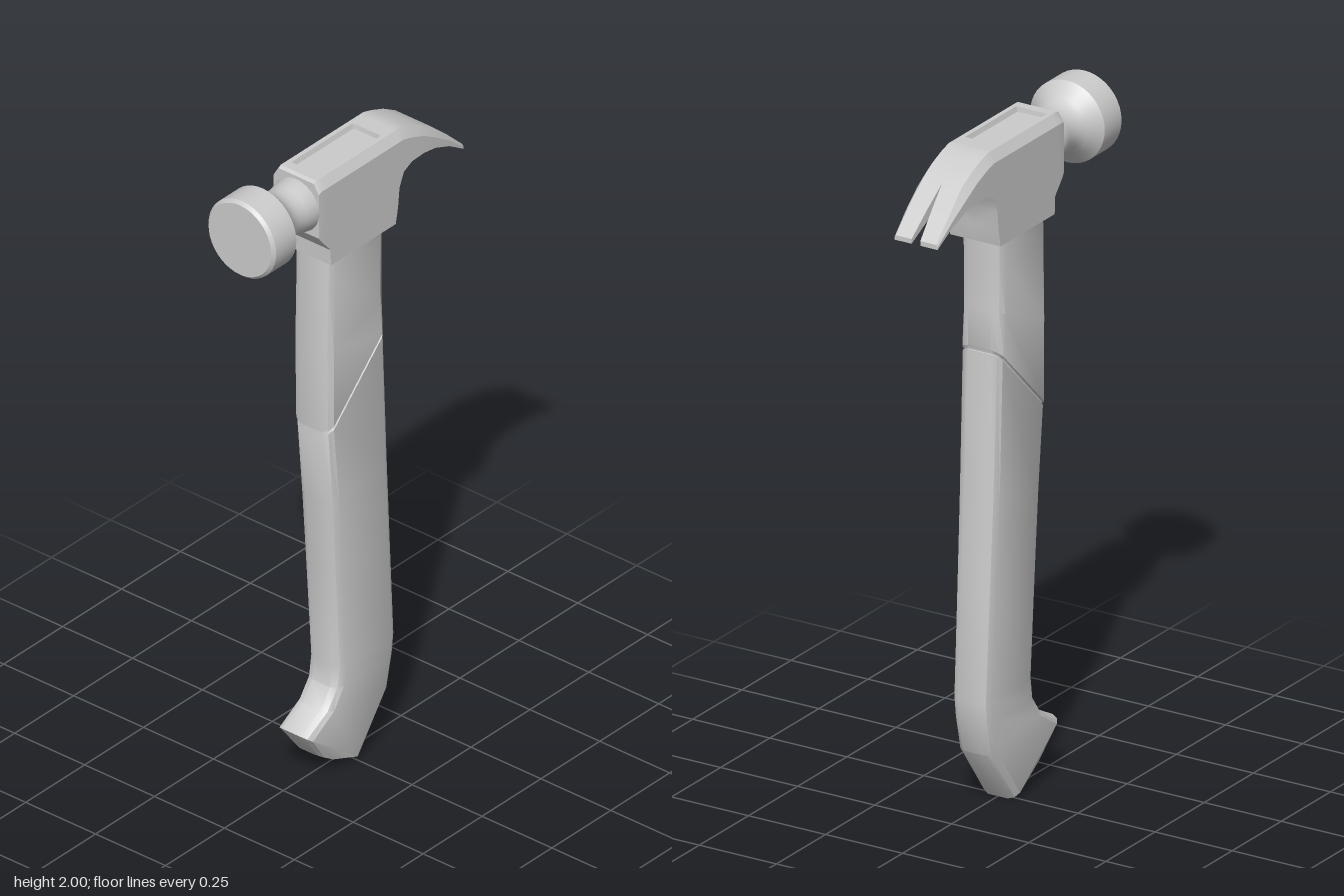
import * as THREE from 'three';
import { toCreasedNormals } from 'three/addons/utils/BufferGeometryUtils.js';

const material = new THREE.MeshStandardMaterial({ color: 0xcccccc });

// Closed skin through equal-length rings of [x, y, z], capped at both ends
function loft(rings, crease) {
  const n = rings[0].length;
  const pos = rings.flat(2);
  let index = [];
  for (let r = 0; r < rings.length - 1; r++) {
    for (let i = 0; i < n; i++) {
      const a = r * n + i, b = r * n + (i + 1) % n;
      index.push(a, b, b + n, a, b + n, a + n);
    }
  }
  const last = (rings.length - 1) * n;
  for (let i = 1; i < n - 1; i++) {
    index.push(0, i + 1, i, last, last + i, last + i + 1);
  }
  // Turn the faces outward if the enclosed volume comes out negative
  const v = (i) => new THREE.Vector3().fromArray(pos, i * 3);
  let volume = 0;
  for (let i = 0; i < index.length; i += 3) {
    volume += v(index[i]).dot(v(index[i + 1]).cross(v(index[i + 2])));
  }
  if (volume < 0) index = index.reverse();
  const geo = new THREE.BufferGeometry();
  geo.setAttribute('position', new THREE.Float32BufferAttribute(pos, 3));
  geo.setIndex(index);
  return toCreasedNormals(geo, crease);
}

function add(group, name, geo) {
  const mesh = new THREE.Mesh(geo, material);
  mesh.name = name;
  group.add(mesh);
  return mesh;
}

// Flat-faced handle section with rounded edges, spanning rear point L to front point R
function handleRing([lx, ly, rx, ry, h, inset = 0]) {
  const w = Math.hypot(rx - lx, ry - ly);
  const ux = (rx - lx) / w, uy = (ry - ly) / w;
  const e = Math.min(0.027, w * 0.3);
  const edge = [[0, 0.55], [e * 0.35, 0.85], [e, 1]];
  const half = [
    ...edge.map(([u, z]) => [u + inset, z]),
    ...edge.slice().reverse().map(([u, z]) => [w - u - inset, z]),
  ];
  const place = ([u, z], s) => [lx + ux * u, ly + uy * u, s * z * (h - inset)];
  return [...half.map((p) => place(p, 1)), ...half.slice().reverse().map((p) => place(p, -1))];
}

// One half of a head section: bottom, side, bevel, top and sunken panel
function headRing([x, bottom, top, w, gap = 0, sunk = 0], side) {
  const c = Math.min(0.018, (top - bottom) * 0.3);
  const panel = 0.05;
  return [
    [gap, bottom], [w, bottom], [w, top - c * 1.6], [w - c, top],
    [panel, top], [panel - 0.005, top - sunk], [gap, top - sunk],
  ].map(([z, y]) => [x, y, z * side]);
}

export function createModel() {
  const hammer = new THREE.Group();
  hammer.name = 'hammer';

  // Handle: [rear x, rear y, front x, front y, half thickness, inset]
  const handleRows = [
    [-0.133, 1.74, 0.11, 1.74, 0.068],
    [-0.135, 1.60, 0.107, 1.62, 0.068],
    [-0.14, 1.38, 0.107, 1.48, 0.067],
    // slanted seam where the grip starts
    [-0.134, 1.126, 0.111, 1.366, 0.067],
    [-0.133, 1.122, 0.111, 1.362, 0.067, 0.005],
    [-0.133, 1.118, 0.111, 1.358, 0.066, 0.005],
    [-0.131, 1.114, 0.112, 1.354, 0.065],
    [-0.114, 0.88, 0.132, 0.95, 0.064],
    [-0.10, 0.66, 0.147, 0.68, 0.062],
    [-0.08, 0.34, 0.166, 0.34, 0.06],
    // hooked butt
    [-0.09, 0.275, 0.16, 0.28, 0.059],
    [-0.13, 0.22, 0.137, 0.175, 0.059],
    [-0.215, 0.175, 0.015, 0.005, 0.058],
    [-0.15, 0.084, -0.065, 0.03, 0.042],
  ];
  add(hammer, 'handle', loft(handleRows.map(handleRing), 0.55));

  // Head: [x, bottom, top, half width, claw gap, panel depth]
  const headRows = [
    [-0.195, 1.80, 1.970, 0.081],
    [-0.185, 1.785, 1.976, 0.082],
    [-0.156, 1.752, 1.976, 0.082],
    [-0.154, 1.75, 1.976, 0.082, 0, 0.014],
    [-0.147, 1.74, 1.976, 0.082, 0, 0.014],
    [-0.145, 1.69, 1.976, 0.082, 0, 0.014],
    [0.102, 1.69, 1.976, 0.082, 0, 0.014],
    [0.104, 1.69, 1.976, 0.082],
    [0.130, 1.69, 1.976, 0.082],
    [0.140, 1.74, 1.976, 0.082],
    [0.146, 1.80, 1.976, 0.082],
    [0.165, 1.843, 1.976, 0.082],
    [0.200, 1.860, 1.966, 0.082],
    [0.250, 1.862, 1.946, 0.082],
    [0.300, 1.854, 1.917, 0.081],
    [0.365, 1.826, 1.860, 0.076, 0.007],
    [0.432, 1.782, 1.796, 0.07, 0.014],
  ];
  for (const side of [1, -1]) {
    const name = side > 0 ? 'headAndClawFront' : 'headAndClawBack';
    add(hammer, name, loft(headRows.map((row) => headRing(row, side)), 0.5));
  }

  // Round neck and striking face, turned about the x axis
  const profile = [
    [0.075, 0.15], [0.082, 0.193], [0.073, 0.235], [0.071, 0.26], [0.075, 0.28],
    [0.085, 0.302], [0.121, 0.338], [0.121, 0.424], [0.112, 0.434], [0, 0.434],
  ].map(([r, y]) => new THREE.Vector2(r, y));
  const face = add(hammer, 'strikingFace', toCreasedNormals(new THREE.LatheGeometry(profile, 40), 0.6));
  face.rotation.z = Math.PI / 2;
  face.position.y = 1.879;

  return hammer;
}
